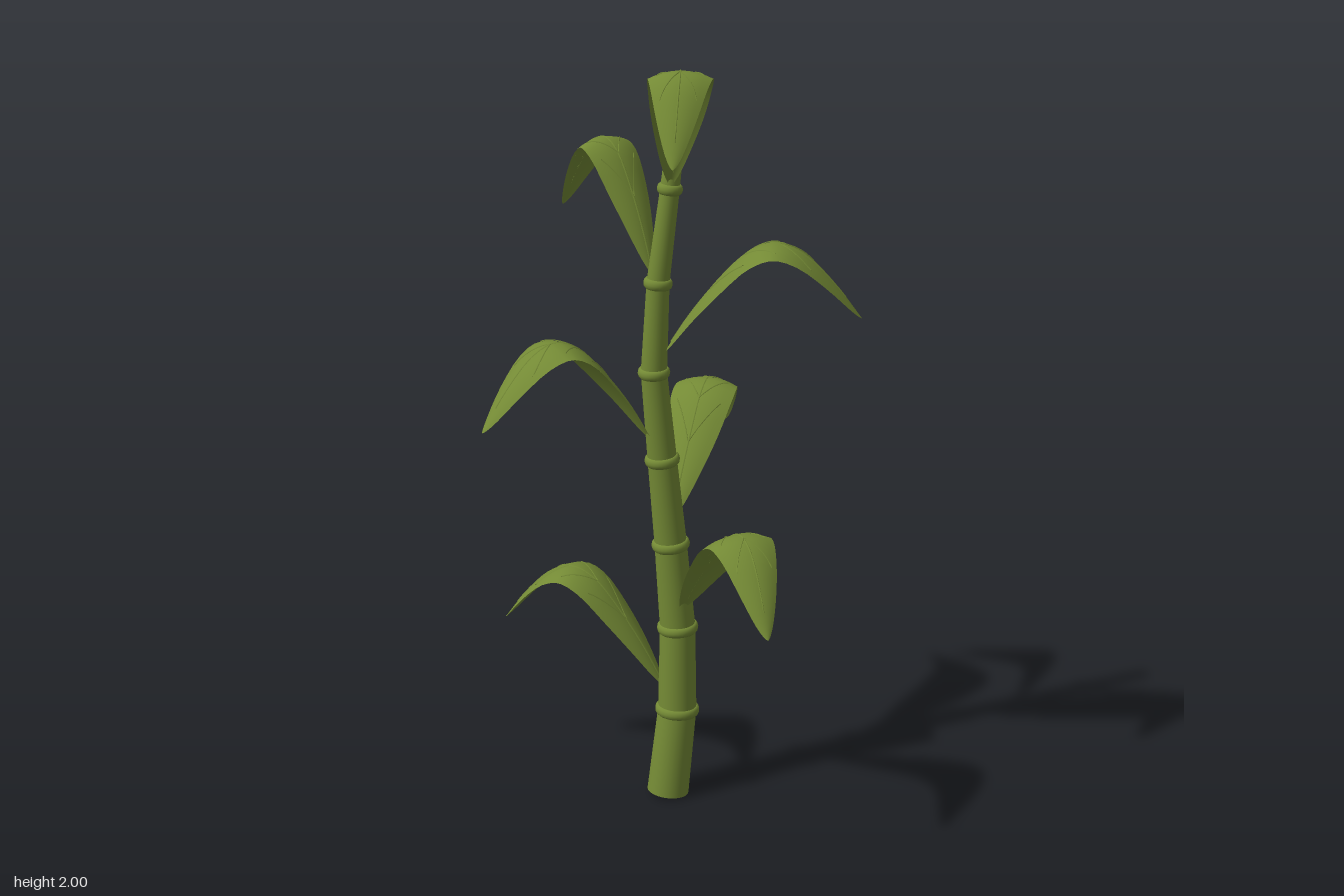
import * as THREE from 'three';

const caneGreen = new THREE.MeshStandardMaterial({ color: 0x748a35, side: THREE.DoubleSide });
caneGreen.name = 'cane green';

const V = (x, y, z) => new THREE.Vector3(x, y, z);
const UP = V(0, 1, 0);

// Stalk joints from the ground to the cut top
const joints = [
  V(0.035, 0.007, -0.02), V(0.062, 0.245, -0.026), V(0.064, 0.482, -0.032),
  V(0.045, 0.72, -0.034), V(0.021, 0.958, -0.031), V(-0.003, 1.197, -0.024),
  V(0.004, 1.433, -0.011), V(0.032, 1.672, -0.003), V(0.057, 1.905, 0.002),
];
const radiusAt = (y) => 0.056 - 0.019 * y;

function stalkPoint(y) {
  let i = 0;
  while (i < joints.length - 2 && joints[i + 1].y < y) i++;
  const a = joints[i], b = joints[i + 1];
  return a.clone().lerp(b, (y - a.y) / (b.y - a.y));
}

// Grid surface from a function of a (0..1) and b (-1..1)
function patch(fn, na, nb) {
  const pos = [], index = [];
  for (let i = 0; i <= na; i++) {
    for (let j = 0; j <= nb; j++) pos.push(...fn(i / na, (j / nb) * 2 - 1).toArray());
  }
  for (let i = 0; i < na; i++) {
    for (let j = 0; j < nb; j++) {
      const p = i * (nb + 1) + j, q = p + nb + 1;
      index.push(p, p + 1, q, p + 1, q + 1, q);
    }
  }
  const g = new THREE.BufferGeometry();
  g.setAttribute('position', new THREE.Float32BufferAttribute(pos, 3));
  g.setIndex(index);
  g.computeVertexNormals();
  return g;
}

// Arching midrib: distance outward (share of reach) and height
const arch = new THREE.CatmullRomCurve3([
  [0, 0], [0.14, 0.11], [0.28, 0.2], [0.42, 0.272], [0.56, 0.3],
  [0.7, 0.275], [0.85, 0.205], [1, 0.11],
].map(([s, h]) => V(s, h, 0)));

function makeLeaf({ y, tip, width, rise, bow }) {
  const leaf = new THREE.Group();
  leaf.name = 'leaf';
  const base = stalkPoint(y);
  const out = V(tip[0] - base.x, 0, tip[1] - base.z).normalize();
  base.addScaledVector(out, radiusAt(y) * 0.7);
  const reach = Math.hypot(tip[0] - base.x, tip[1] - base.z);
  const side = UP.clone().cross(out);
  const half = (s) => (width / 2) * Math.pow(Math.max(0, Math.sin(Math.PI * s)), 0.68);

  // Point on the blade, bowed sideways and drooping towards both edges
  const surface = (s, v, lift = 0) => {
    const p = arch.getPoint(s), t = arch.getTangent(s);
    const along = out.clone().multiplyScalar(t.x * reach).addScaledVector(UP, t.y * rise).normalize();
    const normal = along.clone().cross(side).normalize();
    const h = half(s);
    return base.clone().addScaledVector(out, p.x * reach).addScaledVector(UP, p.y * rise)
      .addScaledVector(side, v * h + bow * Math.sin(Math.PI * s))
      .addScaledVector(normal, lift - 0.25 * h * v * v);
  };
  const add = (name, geometry) => {
    const m = new THREE.Mesh(geometry, caneGreen);
    m.name = name;
    leaf.add(m);
  };

  add('leafBlade', patch((a, b) => surface(0.5 - 0.5 * Math.cos(Math.PI * a), b), 28, 8));

  // Midrib and paired side veins as low ridges on the upper face
  const ridge = (b) => 0.0025 * (1 - Math.abs(b)) - 0.0003;
  add('midrib', patch((a, b) => {
    const s = 0.04 + 0.88 * a;
    return surface(s, (b * (0.0035 - 0.0018 * a)) / half(s), ridge(b));
  }, 24, 2));
  for (const s0 of [0.24, 0.42, 0.6]) {
    for (const dir of [-1, 1]) {
      add('sideVein', patch((a, b) => surface(s0 + 0.17 * a + dir * b * 0.005, dir * 0.72 * a, ridge(b)), 8, 2));
    }
  }
  return leaf;
}

export function createModel() {
  const model = new THREE.Group();
  model.name = 'canePlant';

  // Straight tapering segments with a swollen ring at each inner joint
  for (let i = 0; i < joints.length - 1; i++) {
    const a = joints[i], b = joints[i + 1];
    const dir = b.clone().sub(a);
    const segment = new THREE.Mesh(
      new THREE.CylinderGeometry(radiusAt(b.y), radiusAt(a.y), dir.length(), 24), caneGreen);
    segment.name = 'stalkSegment';
    segment.position.copy(a).lerp(b, 0.5);
    segment.quaternion.setFromUnitVectors(UP, dir.clone().normalize());
    model.add(segment);
    if (i === 0) continue;
    const ring = new THREE.Mesh(new THREE.TorusGeometry(radiusAt(a.y) - 0.001, 0.009, 10, 28), caneGreen);
    ring.name = 'jointRing';
    ring.position.copy(a);
    ring.scale.z = 1.5;
    ring.quaternion.setFromUnitVectors(V(0, 0, 1), b.clone().sub(joints[i - 1]).normalize());
    model.add(ring);
  }

  // One leaf above each joint, spiralling up the stalk
  const leaves = [
    { y: 0.302, tip: [-0.33, -0.37], width: 0.165, rise: 1, bow: 0 },
    { y: 0.545, tip: [0.145, 0.472], width: 0.175, rise: 1, bow: 0.035 },
    { y: 0.78, tip: [0.327, -0.475], width: 0.17, rise: 1, bow: -0.012 },
    { y: 1.015, tip: [-0.475, 0.115], width: 0.175, rise: 1.01, bow: -0.01 },
    { y: 1.25, tip: [0.472, 0.185], width: 0.175, rise: 1, bow: -0.03 },
    { y: 1.45, tip: [-0.155, -0.352], width: 0.152, rise: 1.05, bow: -0.012 },
    { y: 1.685, tip: [-0.065, 0.355], width: 0.155, rise: 1.05, bow: 0.02 },
  ];
  for (const l of leaves) model.add(makeLeaf(l));
  return model;
}
